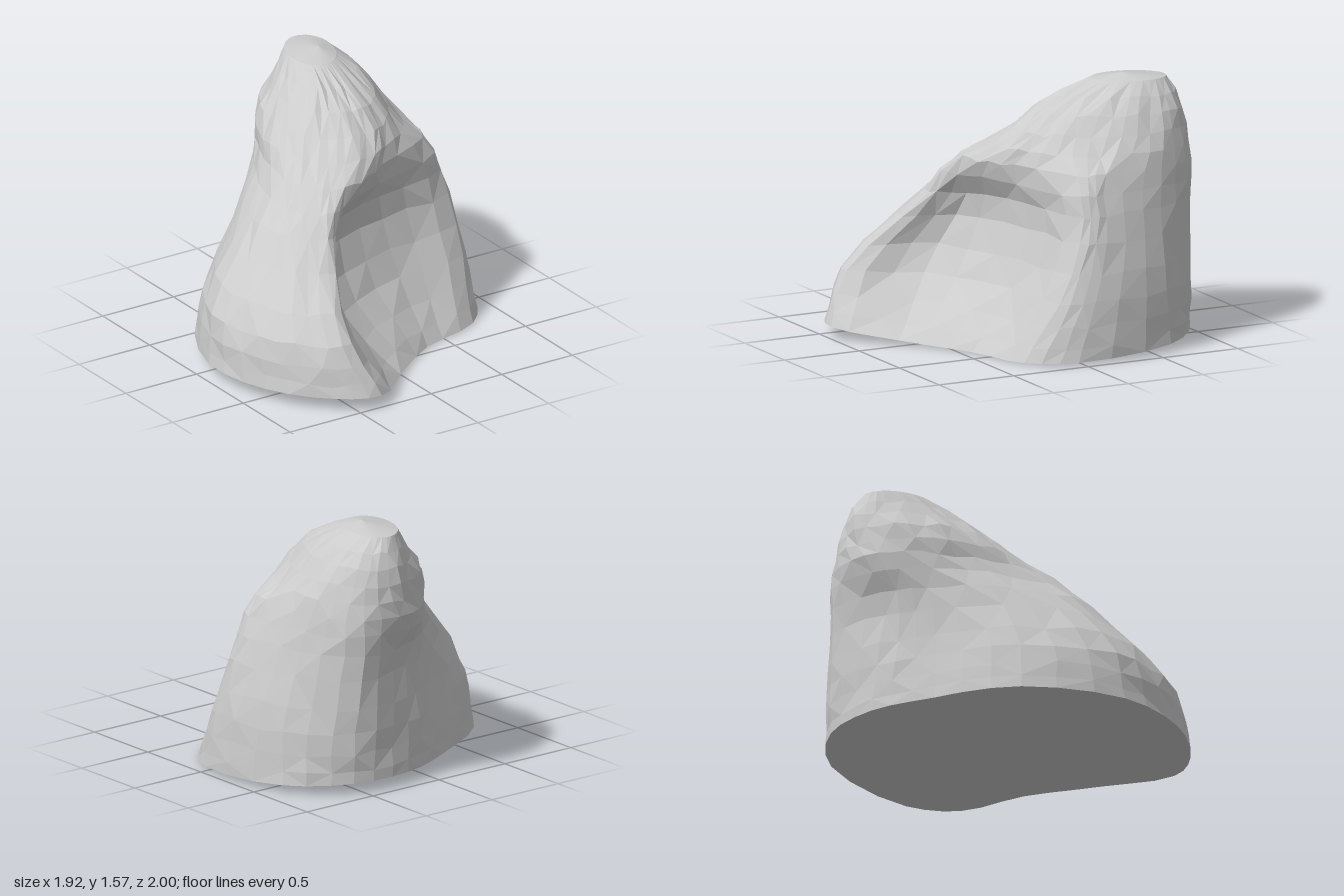
import * as THREE from 'three';

const SIDES = 13, COLS = 39, ROWS = 13;

// Closed cross-section: x,z pairs running right, back, left wing, front hollow
function section(y, xz) {
  const pts = [];
  for (let i = 0; i < xz.length; i += 2) pts.push(new THREE.Vector3(xz[i], y, xz[i + 1]));
  return new THREE.CatmullRomCurve3(pts, true, 'centripetal');
}

// Slanted oval cross-section of the peak, starting at the right front ridge
function oval(y, x, z, rx, rz) {
  const xz = [];
  for (let i = 0; i < SIDES; i++) {
    const u = i / SIDES;
    const a = 0.61 - u * Math.PI * 2 - 0.5 * Math.sin(u * Math.PI) ** 2;
    const dz = rz * Math.sin(a);
    xz.push(x + rx * Math.cos(a) - 0.17 * dz, z + dz);
  }
  return section(y, xz);
}

// Small seeded generator for chipped facets
function seeded(seed) {
  return () => {
    seed = (seed * 16807) % 2147483647;
    return seed / 2147483647 - 0.5;
  };
}

function rockGeometry() {
  const sections = [
    // bean-shaped footprint
    section(0, [.76, .3, .94, .03, .88, -.62, .57, -.91, .18, -.94, -.2, -.79, -.66, -.51,
      -.95, .06, -.87, .55, -.6, .9, -.35, 1, -.03, .72, .35, .43]),
    // hollow between wing and right ridge
    section(.4, [.82, .08, .92, -.1, .85, -.6, .56, -.92, .16, -.91, -.16, -.74, -.6, -.47,
      -.89, .02, -.84, .43, -.66, .72, -.46, .82, -.26, .4, .33, .14]),
    section(.8, [.8, -.07, .83, -.22, .76, -.62, .52, -.94, .15, -.87, -.1, -.73, -.38, -.47,
      -.58, -.08, -.57, .2, -.45, .36, -.31, .42, -.19, .2, .28, .02]),
    // overhanging lip
    section(1.04, [.71, -.1, .74, -.24, .7, -.65, .52, -.95, .18, -.98, -.02, -.83, -.19, -.58,
      -.32, -.24, -.36, .06, -.29, .2, -.2, .28, -.02, .24, .24, .1]),
    // tapering peak
    oval(1.22, .22, -.46, .42, .53),
    oval(1.4, .25, -.55, .28, .41),
    oval(1.54, .25, -.67, .15, .22),
  ];
  const random = seeded(71);
  const ribs = Array.from({ length: COLS }, (_, c) =>
    new THREE.CatmullRomCurve3(sections.map(s => s.getPoint(c / COLS)), false, 'centripetal'));

  const position = [], index = [];
  for (let r = 0; r <= ROWS; r++) {
    for (const rib of ribs) {
      const p = rib.getPoint((r / ROWS) ** 1.3);
      // underside lifts away from the front right
      const lift = 0.08 * Math.min(1, Math.hypot(p.x - 0.4, p.z - 0.15) / 1.15) ** 2;
      p.y += lift * Math.max(0, 1 - p.y / 0.5);
      if (r > 0 && r < ROWS) {
        p.x += random() * 0.014;
        p.y += random() * 0.025;
        p.z += random() * 0.014;
      }
      position.push(p.x, p.y, p.z);
    }
  }
  // sides, with alternating diagonals
  for (let r = 0; r < ROWS; r++) {
    for (let c = 0; c < COLS; c++) {
      const a = r * COLS + c, b = r * COLS + (c + 1) % COLS;
      const d = a + COLS, e = b + COLS;
      if ((r + c) % 2) index.push(a, b, e, a, e, d);
      else index.push(a, b, d, b, e, d);
    }
  }
  // underside and summit
  const base = position.length / 3, top = base + 1, last = ROWS * COLS;
  position.push(-0.1, 0.04, 0, 0.28, 1.575, -0.62);
  for (let c = 0; c < COLS; c++) {
    const n = (c + 1) % COLS;
    index.push(base, n, c, top, last + c, last + n);
  }
  const geometry = new THREE.BufferGeometry();
  geometry.setAttribute('position', new THREE.Float32BufferAttribute(position, 3));
  geometry.setIndex(index);
  const flat = geometry.toNonIndexed();
  flat.computeVertexNormals();
  return flat;
}

export function createModel() {
  const model = new THREE.Group();
  model.name = 'boulder';
  const rock = new THREE.Mesh(rockGeometry(),
    new THREE.MeshStandardMaterial({ color: 0xcccccc, flatShading: true }));
  rock.name = 'rock';
  model.add(rock);
  return model;
}
